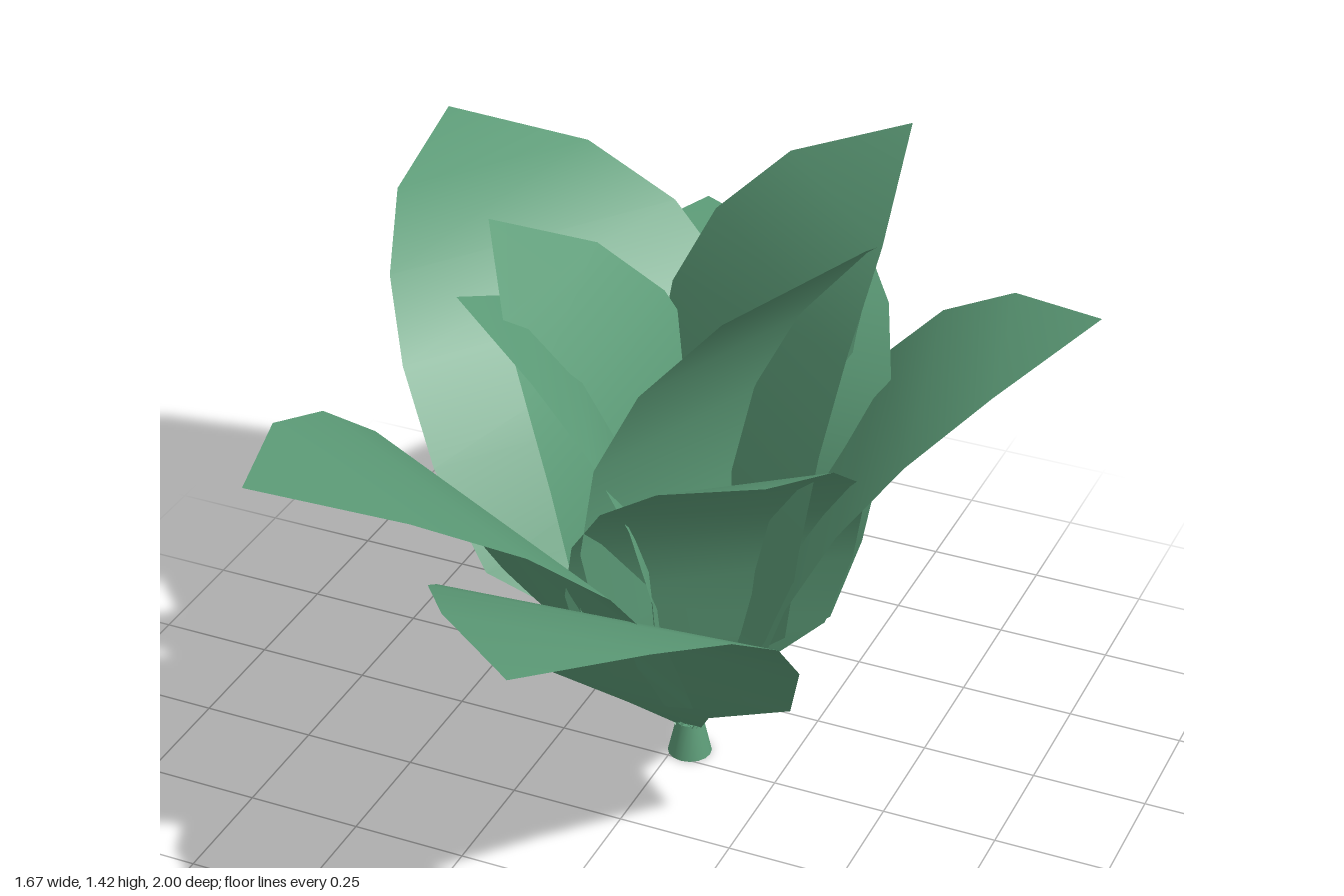
import * as THREE from 'three';

const BASE = new THREE.Vector3(0.034, 0.06, -0.04);

// Leaf rows as shares of the leaf length:
// [distance along the chord, arch above the chord, half width]
const ROWS = [
  [0, 0, 0.018],
  [0.15, 0.017, 0.068],
  [0.295, 0.05, 0.232],
  [0.45, 0.104, 0.272],
  [0.6, 0.127, 0.27],
  [0.737, 0.118, 0.235],
  [0.872, 0.077, 0.158],
  [1, 0, 0],
];

// An arched leaf, flat from edge to edge, running from the stalk to its tip
function leafGeometry(x, y, z) {
  const chord = new THREE.Vector3(x, y, z).sub(BASE);
  const length = chord.length();
  chord.normalize();
  const side = new THREE.Vector3(chord.z, 0, -chord.x).normalize();
  const up = new THREE.Vector3().crossVectors(chord, side);
  const positions = [], index = [];
  ROWS.forEach(([along, arch, half], i) => {
    for (const s of [-1, 1]) {
      const v = BASE.clone()
        .addScaledVector(chord, along * length)
        .addScaledVector(up, arch * length)
        .addScaledVector(side, s * half * length);
      positions.push(v.x, v.y, v.z);
    }
    const a = i * 2;
    if (i < ROWS.length - 1) index.push(a, a + 1, a + 2);
    if (i < ROWS.length - 2) index.push(a + 1, a + 3, a + 2);
  });
  // the tip row is a single point
  positions.splice(-3);
  const g = new THREE.BufferGeometry();
  g.setAttribute('position', new THREE.Float32BufferAttribute(positions, 3));
  g.setIndex(index);
  g.computeVertexNormals();
  return g;
}

// Tip position of each leaf
const LEAVES = {
  outerLeafFront: [0.12, 0.87, 1.0],
  outerLeafFrontRight: [-0.47, 1.08, 0.905],
  outerLeafLeft: [0.835, 1.155, -0.23],
  outerLeafBackRight: [-0.84, 1.09, -0.685],
  outerLeafBack: [-0.34, 0.82, -1.0],
  innerLeafBackLeft: [0.37, 1.425, -0.38],
  innerLeafLeft: [0.465, 1.4, 0.125],
  innerLeafRight: [-0.44, 1.18, -0.08],
  innerLeafBack: [0.16, 1.04, -0.64],
  innerLeafFrontLeft: [0.39, 1.02, 0.425],
  innerLeafFrontRight: [-0.385, 1.14, 0.18],
};

export function createModel() {
  const group = new THREE.Group();
  group.name = 'leafyPlant';
  const green = new THREE.MeshStandardMaterial({ color: 0x5c9b77, side: THREE.DoubleSide });
  green.name = 'leafGreen';

  for (const [name, tip] of Object.entries(LEAVES)) {
    const leaf = new THREE.Mesh(leafGeometry(...tip), green);
    leaf.name = name;
    group.add(leaf);
  }

  // short flared stalk
  const stalk = new THREE.Mesh(new THREE.CylinderGeometry(0.03, 0.048, 0.08, 16), green);
  stalk.position.set(BASE.x, 0.04, BASE.z);
  stalk.name = 'stalk';
  group.add(stalk);
  return group;
}
